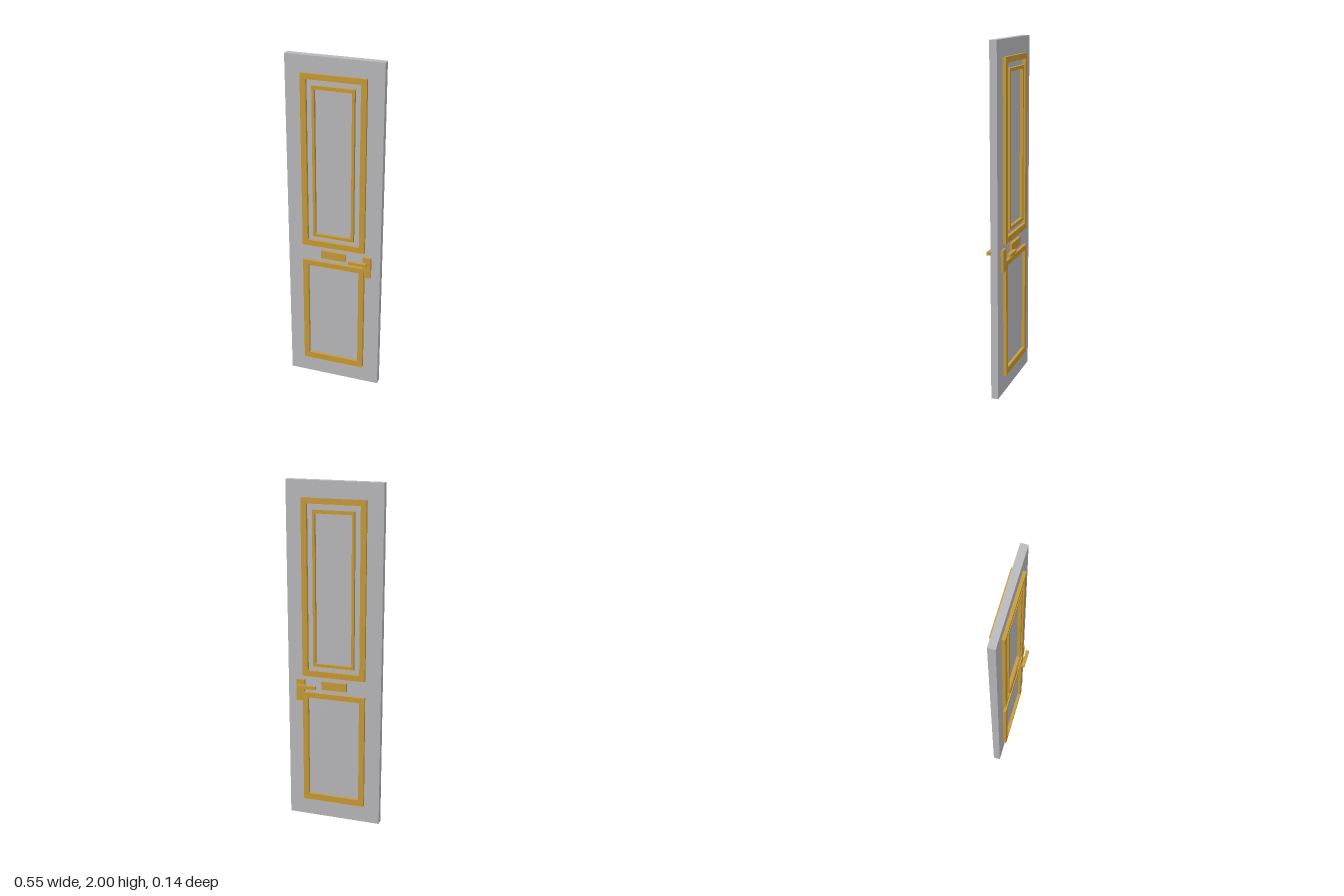
import * as THREE from 'three';

const FACE = 0.0205; // half the door's thickness

export function createModel() {
  const grey = new THREE.MeshStandardMaterial({ color: 0xbababd });
  grey.name = 'grey panel';
  const gold = new THREE.MeshStandardMaterial({ color: 0xc89b38 });
  gold.name = 'gold trim';

  const door = new THREE.Group();
  door.name = 'door';

  // Box given by its extents
  function box(parent, name, material, x0, x1, y0, y1, z0, z1) {
    const mesh = new THREE.Mesh(new THREE.BoxGeometry(x1 - x0, y1 - y0, Math.abs(z1 - z0)), material);
    mesh.position.set((x0 + x1) / 2, (y0 + y1) / 2, (z0 + z1) / 2);
    mesh.name = name;
    parent.add(mesh);
  }

  // Rectangular moulding with an open centre, on the front (side 1) or back (side -1)
  function frame(parent, name, side, outer, inner, depth) {
    const [w, y0, y1] = outer;
    const [iw, iy0, iy1] = inner;
    const shape = new THREE.Shape([[-w, y0], [w, y0], [w, y1], [-w, y1]].map(p => new THREE.Vector2(...p)));
    shape.holes.push(new THREE.Path([[-iw, iy0], [-iw, iy1], [iw, iy1], [iw, iy0]].map(p => new THREE.Vector2(...p))));
    const geometry = new THREE.ExtrudeGeometry(shape, { depth: depth - FACE, bevelEnabled: false });
    const mesh = new THREE.Mesh(geometry, material(side));
    mesh.position.z = side > 0 ? FACE : -depth;
    mesh.name = name;
    parent.add(mesh);
  }
  const material = () => gold;

  // Door leaf
  box(door, 'doorLeaf', grey, -0.276, 0.276, 0, 2, -FACE, FACE);

  // The same trim and fittings on both faces
  for (const side of [1, -1]) {
    const trim = new THREE.Group();
    trim.name = side > 0 ? 'frontTrim' : 'backTrim';
    frame(trim, 'upperOuterMoulding', side, [0.185, 0.892, 1.908], [0.153, 0.926, 1.877], 0.0385);
    frame(trim, 'upperInnerMoulding', side, [0.12, 0.955, 1.845], [0.105, 0.972, 1.826], 0.0385);
    frame(trim, 'lowerMoulding', side, [0.185, 0.108, 0.792], [0.153, 0.146, 0.762], 0.0385);
    box(trim, 'centrePlate', gold, -0.075, 0.073, 0.818, 0.866, side * FACE, side * 0.036);
    box(trim, 'lockPlate', gold, 0.175, 0.224, 0.738, 0.866, side * FACE, side * 0.036);
    box(trim, 'handleBar', gold, 0.1, 0.204, 0.824, 0.842, side * 0.051, side * 0.07);
    door.add(trim);
  }
  return door;
}
